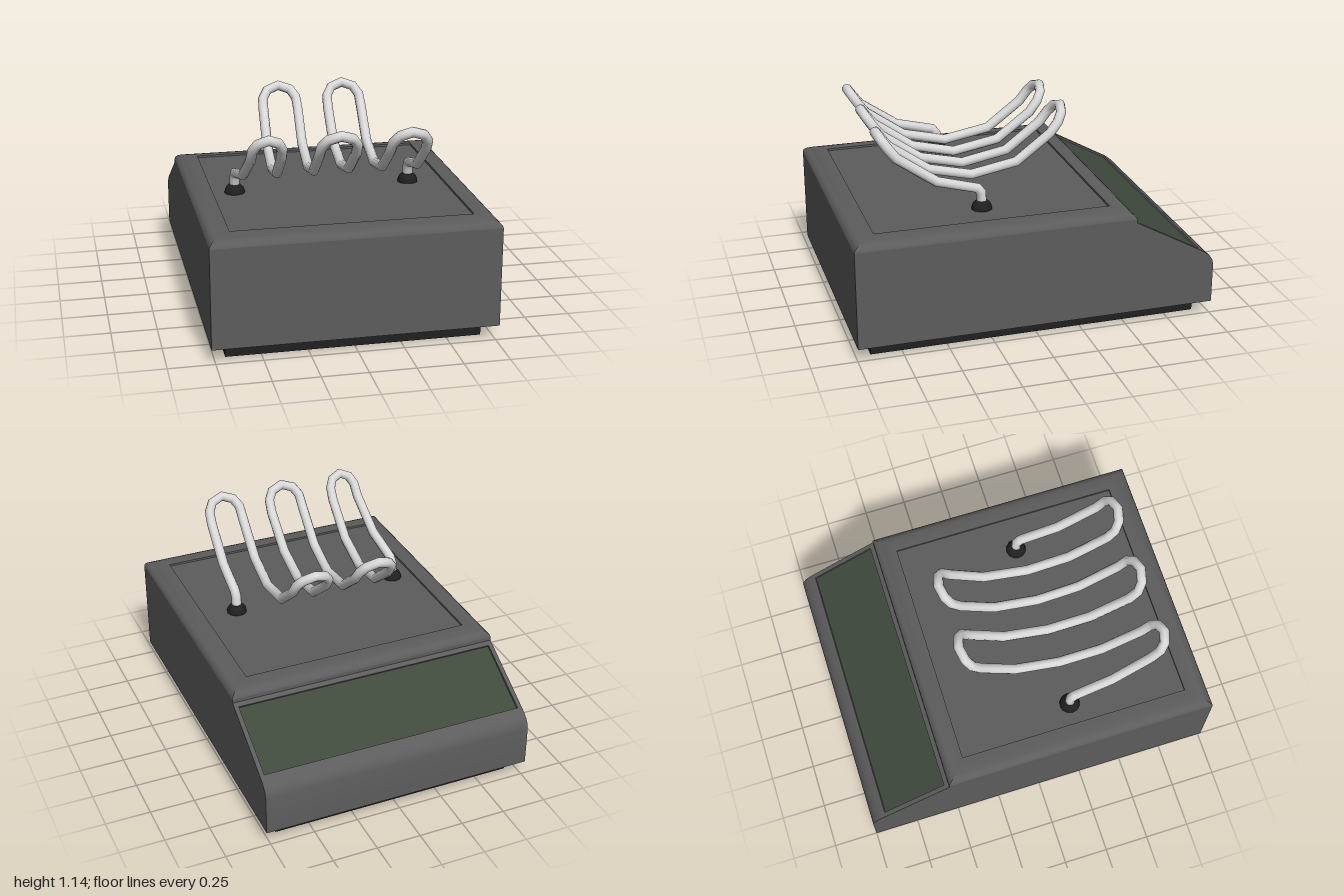
import * as THREE from 'three';
import { toCreasedNormals } from 'three/addons/utils/BufferGeometryUtils.js';

const mat = (name, color, side = THREE.FrontSide) => {
  const m = new THREE.MeshStandardMaterial({ color, side });
  m.name = name;
  return m;
};

function add(parent, name, geometry, material) {
  const mesh = new THREE.Mesh(geometry, material);
  mesh.name = name;
  parent.add(mesh);
  return mesh;
}

// Stacked rectangles, each [half width, back z, front z, y], closed at both ends
function rectLoft(levels) {
  const rings = levels.map(([x, zb, zf, y]) => [[x, y, zf], [x, y, zb], [-x, y, zb], [-x, y, zf]]);
  const pos = [];
  const quad = (a, b, c, d) => pos.push(...a, ...b, ...c, ...a, ...c, ...d);
  for (let i = 0; i < rings.length - 1; i++) {
    const lo = rings[i], hi = rings[i + 1];
    for (let k = 0; k < 4; k++) {
      const n = (k + 1) % 4;
      quad(lo[k], lo[n], hi[n], hi[k]);
    }
  }
  quad(...rings[rings.length - 1]);
  quad(...[...rings[0]].reverse());
  const g = new THREE.BufferGeometry();
  g.setAttribute('position', new THREE.Float32BufferAttribute(pos, 3));
  return toCreasedNormals(g, 0.6);
}

// Side profile in (z, y), extruded across x
function profileSlab(points, width, centerX) {
  const shape = new THREE.Shape(points.map(([z, y]) => new THREE.Vector2(z, y)));
  const g = new THREE.ExtrudeGeometry(shape, { depth: width, bevelEnabled: false });
  g.rotateY(-Math.PI / 2);
  g.translate(centerX + width / 2, 0, 0);
  return toCreasedNormals(g, 0.5);
}

// Tube whose rings sit exactly on the given points
function rodGeometry(points, radius) {
  const curve = new THREE.CatmullRomCurve3(points);
  curve.getPointAt = (u, target) => curve.getPoint(u, target);
  curve.getTangentAt = (u, target) => curve.getTangent(u, target);
  return new THREE.TubeGeometry(curve, points.length - 1, radius, 10, false);
}

export function createModel() {
  const model = new THREE.Group();
  model.name = 'benchDevice';

  const grey = mat('housingGrey', 0x5c5c5c);
  const black = mat('baseBlack', 0x202020);
  const green = mat('screenGreen', 0x3f4a3d);
  const metal = mat('rodMetal', 0xd8d8d8, THREE.DoubleSide);

  // Base with a flare up to the housing
  add(model, 'base', rectLoft([
    [0.69, -0.92, 0.92, 0], [0.69, -0.92, 0.92, 0.05], [0.77, -1, 1, 0.08],
  ]), black);

  // Housing: a centre slab with a sunken screen bed between two cheeks
  const slope = 0.21 / 0.38;
  const slopeY = z => 0.61 + (z + 0.54) * slope;
  const rear = [[-0.93, slopeY(-0.93)], [-0.953, 0.38], [-0.976, 0.36], [-0.993, 0.335], [-1, 0.305], [-1, 0.08]];
  const front = [[1, 0.08], [1, 0.63], [-0.54, 0.63], [-0.54, 0.61]];
  const sink = 0.012;
  const bed = [
    [-0.565, slopeY(-0.565)], [-0.559, slopeY(-0.565) - sink],
    [-0.914, slopeY(-0.92) - sink], [-0.92, slopeY(-0.92)],
  ];
  add(model, 'housing', profileSlab([...front, ...bed, ...rear], 1.49, 0), grey);
  for (const s of [-1, 1]) {
    add(model, s > 0 ? 'leftCheek' : 'rightCheek', profileSlab([...front, ...rear], 0.025, s * 0.7575), grey);
  }

  // Screen plate in the sloping bed
  const screen = add(model, 'screen', new THREE.BoxGeometry(1.488, 0.006, 0.355 * Math.hypot(1, slope)), green);
  screen.position.set(0, slopeY(-0.7425) - sink, -0.7365);
  screen.rotation.x = -Math.atan(slope);

  // Rounded lid with a shallow rectangular recess
  const lid = [];
  for (let i = 0; i <= 5; i++) {
    const a = (i / 5) * Math.PI / 2;
    const inX = 0.09 * (1 - Math.cos(a)), inZ = 0.1 * (1 - Math.cos(a));
    lid.push([0.77 - inX, -0.54 + inZ, 1 - inZ, 0.63 + 0.045 * Math.sin(a)]);
  }
  lid.push([0.648, -0.425, 0.872, 0.675], [0.648, -0.425, 0.872, 0.663]);
  add(model, 'lid', rectLoft(lid), grey);

  // Rod mounts
  for (const x of [-0.525, 0.455]) {
    const dome = new THREE.SphereGeometry(0.057, 12, 5, 0, Math.PI * 2, 0, Math.PI / 2);
    const mount = add(model, x < 0 ? 'rightMount' : 'leftMount', dome, black);
    mount.position.set(x, 0.662, 0.236);
  }

  // Bent rod: cradle-shaped runs joined by turns at the front and the back
  const cradle = [[0.695, 0.99], [0.48, 0.84], [0.24, 0.787], [-0.015, 0.84], [-0.205, 0.99]]; // z, y
  const path = [];
  const put = (x, y, z) => path.push(new THREE.Vector3(x, y, z));
  const run = (xFront, xBack, toBack) => {
    const pts = cradle.map(([z, y]) => [xFront + (xBack - xFront) * (0.695 - z) / 0.9, y, z]);
    (toBack ? pts : pts.reverse()).forEach(p => put(...p));
  };
  const turn = (x0, x1, atFront) => {
    const steps = [[0.02, 1.05, 0.74], [0.17, 1.092, 0.768], [0.5, 1.114, 0.783], [0.83, 1.092, 0.768], [0.98, 1.05, 0.74]];
    for (const [t, y, z] of steps) put(x0 + (x1 - x0) * t, y, atFront ? z : 0.49 - z);
  };
  put(-0.525, 0.67, 0.236);
  put(-0.525, 0.755, 0.238);
  put(-0.524, 0.783, 0.26);
  put(-0.515, 0.84, 0.48);
  put(-0.505, 0.99, 0.695);
  turn(-0.505, -0.345, true);
  run(-0.345, -0.285, true);
  turn(-0.285, -0.085, false);
  run(-0.145, -0.085, false);
  turn(-0.145, 0.052, true);
  run(0.052, 0.092, true);
  turn(0.092, 0.287, false);
  run(0.235, 0.287, false);
  turn(0.235, 0.428, true);
  put(0.428, 0.99, 0.695);
  put(0.441, 0.84, 0.48);
  put(0.454, 0.783, 0.26);
  put(0.455, 0.755, 0.238);
  put(0.455, 0.67, 0.236);
  add(model, 'bentRod', rodGeometry(path, 0.028), metal);

  return model;
}
